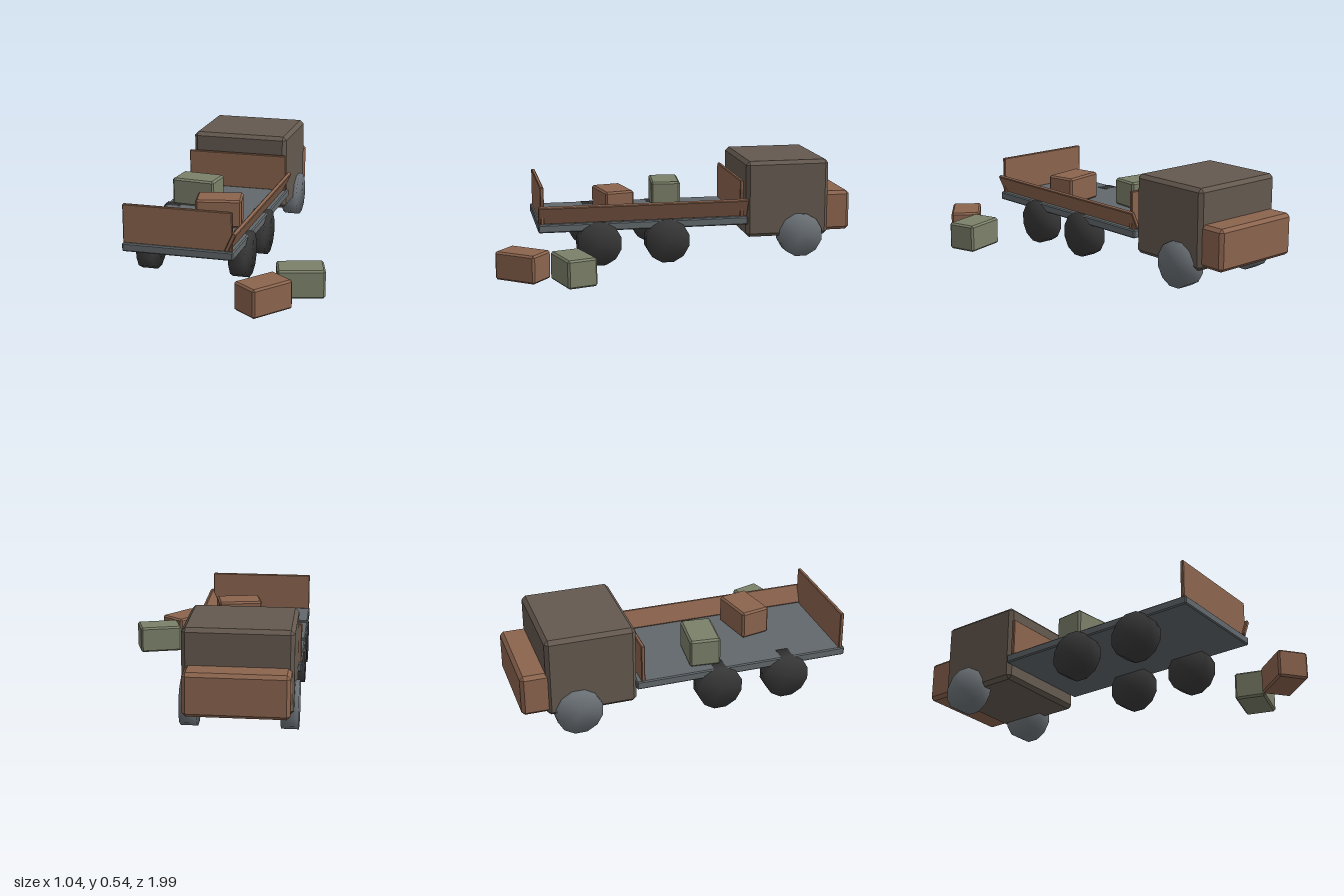
import * as THREE from 'three';
import { mergeVertices } from 'three/addons/utils/BufferGeometryUtils.js';
import { ConvexGeometry } from 'three/addons/geometries/ConvexGeometry.js';

const makeMaterial = (name, color) => {
  const m = new THREE.MeshStandardMaterial({ color });
  m.name = name;
  return m;
};

// Box with flat chamfered edges: three points around every corner
function chamferBox(w, h, d, c) {
  const points = [];
  for (const sx of [-1, 1]) for (const sy of [-1, 1]) for (const sz of [-1, 1]) {
    const x = w / 2, y = h / 2, z = d / 2;
    points.push(
      new THREE.Vector3(sx * x, sy * (y - c), sz * (z - c)),
      new THREE.Vector3(sx * (x - c), sy * y, sz * (z - c)),
      new THREE.Vector3(sx * (x - c), sy * (y - c), sz * z));
  }
  return new ConvexGeometry(points);
}

// Twelve-sided wheel, axle along x, shaded smoothly across the rim
function wheelGeometry() {
  const g = new THREE.CylinderGeometry(0.123, 0.123, 0.088, 12);
  g.rotateZ(Math.PI / 2);
  g.rotateX(Math.PI / 12);
  g.deleteAttribute('normal');
  g.deleteAttribute('uv');
  const smooth = mergeVertices(g, 1e-4);
  smooth.computeVertexNormals();
  return smooth;
}

export function createModel() {
  const truck = new THREE.Group();
  truck.name = 'flatbedTruck';

  const cabPaint = makeMaterial('cab grey brown', 0x64594f);
  const rust = makeMaterial('rusty brown', 0x8b644e);
  const steel = makeMaterial('bed steel', 0x62686c);
  const tyre = makeMaterial('tyre black', 0x373737);
  const hubGrey = makeMaterial('front wheel grey', 0x6a7075);
  const green = makeMaterial('crate green', 0x7b8069);

  const add = (name, geometry, material, x, y, z) => {
    const mesh = new THREE.Mesh(geometry, material);
    mesh.name = name;
    mesh.position.set(x, y, z);
    truck.add(mesh);
    return mesh;
  };

  // Cab and hood, at the -z end
  add('cab', chamferBox(0.55, 0.426, 0.47, 0.02), cabPaint, -0.226, 0.329, -0.635);
  add('hood', chamferBox(0.522, 0.222, 0.22, 0.018), rust, -0.229, 0.246, -0.89);

  // Bed with head and tail boards
  add('bed', chamferBox(0.586, 0.045, 1.155, 0.006), steel, -0.226, 0.2175, 0.172);
  const board = chamferBox(0.576, 0.206, 0.02, 0.004);
  add('headBoard', board, rust, -0.228, 0.34, -0.371);
  add('tailBoard', board, rust, -0.228, 0.34, 0.727);

  // Side board leaning outwards
  const side = add('sideBoard', chamferBox(0.022, 0.105, 1.155, 0.004), rust, 0.053, 0.29, 0.172);
  side.rotation.z = -0.43;

  // Wheels: one grey front pair, two black rear pairs
  const wheel = wheelGeometry();
  const axles = [['frontWheel', -0.71, hubGrey], ['middleWheel', 0.045, tyre], ['rearWheel', 0.42, tyre]];
  for (const [name, z, material] of axles) {
    add(name + 'Left', wheel, material, 0.024, 0.122, z);
    add(name + 'Right', wheel, material, -0.479, 0.122, z);
  }

  // Crates on the bed and on the ground
  const crate = chamferBox(0.243, 0.15, 0.163, 0.01);
  const crates = [
    ['bedCrateBrown', rust, -0.13, 0.317, 0.32, 0.2],
    ['bedCrateGreen', green, -0.352, 0.317, -0.01, -0.1],
    ['groundCrateBrown', rust, 0.249, 0.075, 0.85, 0.91],
    ['groundCrateGreen', green, 0.376, 0.075, 0.597, 0.29],
  ];
  for (const [name, material, x, y, z, turn] of crates) {
    add(name, crate, material, x, y, z).rotation.y = turn;
  }

  return truck;
}
